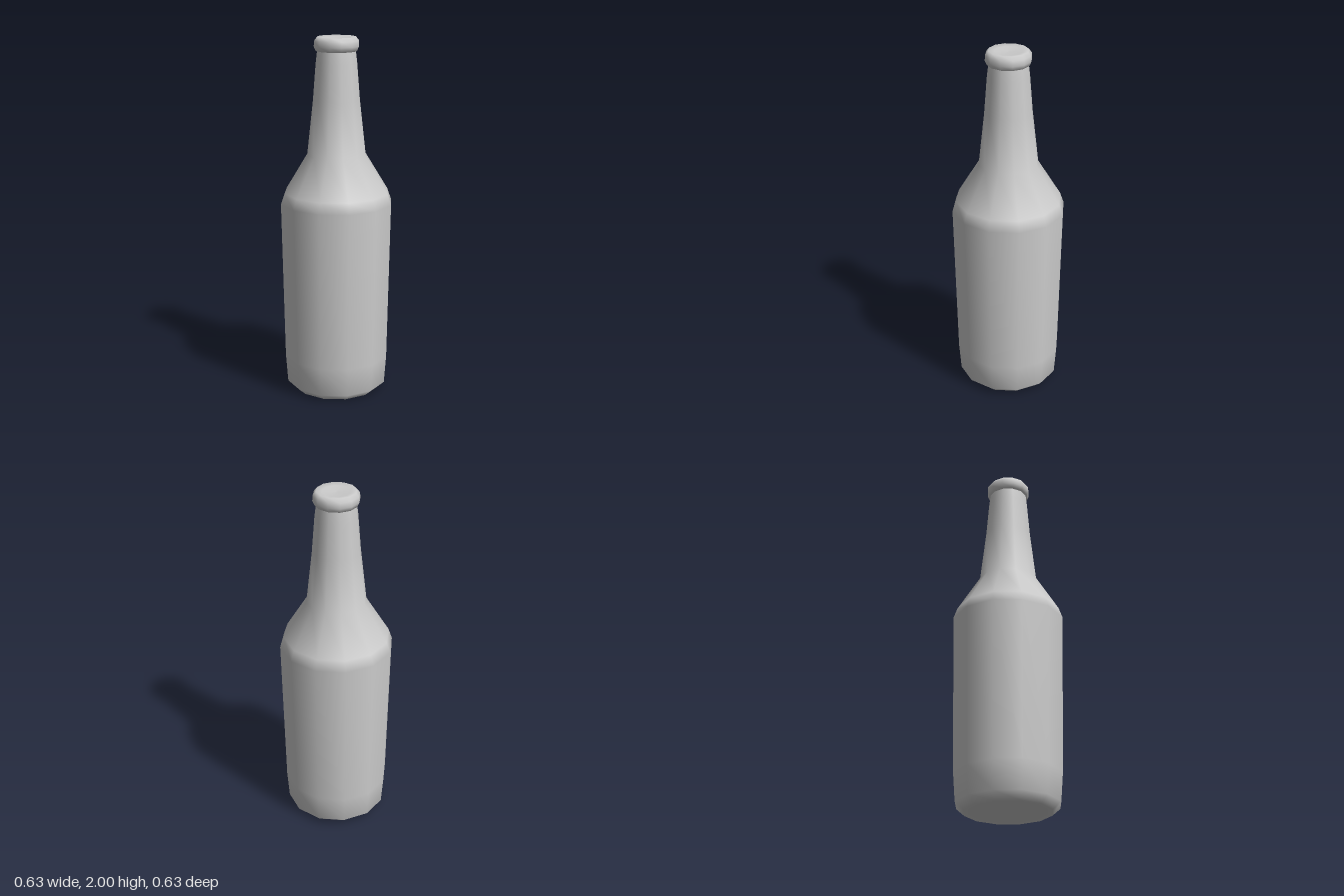
import * as THREE from 'three';

const SIDES = 12;
const material = new THREE.MeshStandardMaterial({ color: 0xcccccc });

// Turn a [radius, height] profile, listed from bottom to top, into a smooth twelve-sided part
function turned(name, profile) {
  const points = profile.map(([r, y]) => new THREE.Vector2(r, y));
  const mesh = new THREE.Mesh(new THREE.LatheGeometry(points, SIDES), material);
  mesh.name = name;
  return mesh;
}

export function createModel() {
  const bottle = new THREE.Group();
  bottle.name = 'bottle';

  // Base, straight body, sloping shoulder and tapering neck
  bottle.add(turned('body', [
    [0, 0.005], [0.2, 0.005], [0.24, 0], [0.285, 0.04], [0.297, 0.2],
    [0.314, 1.09], [0.293, 1.15], [0.165, 1.36],
    [0.131, 1.66], [0.115, 1.86], [0.107, 1.925],
  ]));

  // Rounded lip with a slightly dished top
  bottle.add(turned('lip', [
    [0.1, 1.92], [0.115, 1.926], [0.125, 1.95], [0.123, 1.98],
    [0.107, 2], [0.075, 1.994], [0, 1.99],
  ]));

  return bottle;
}
